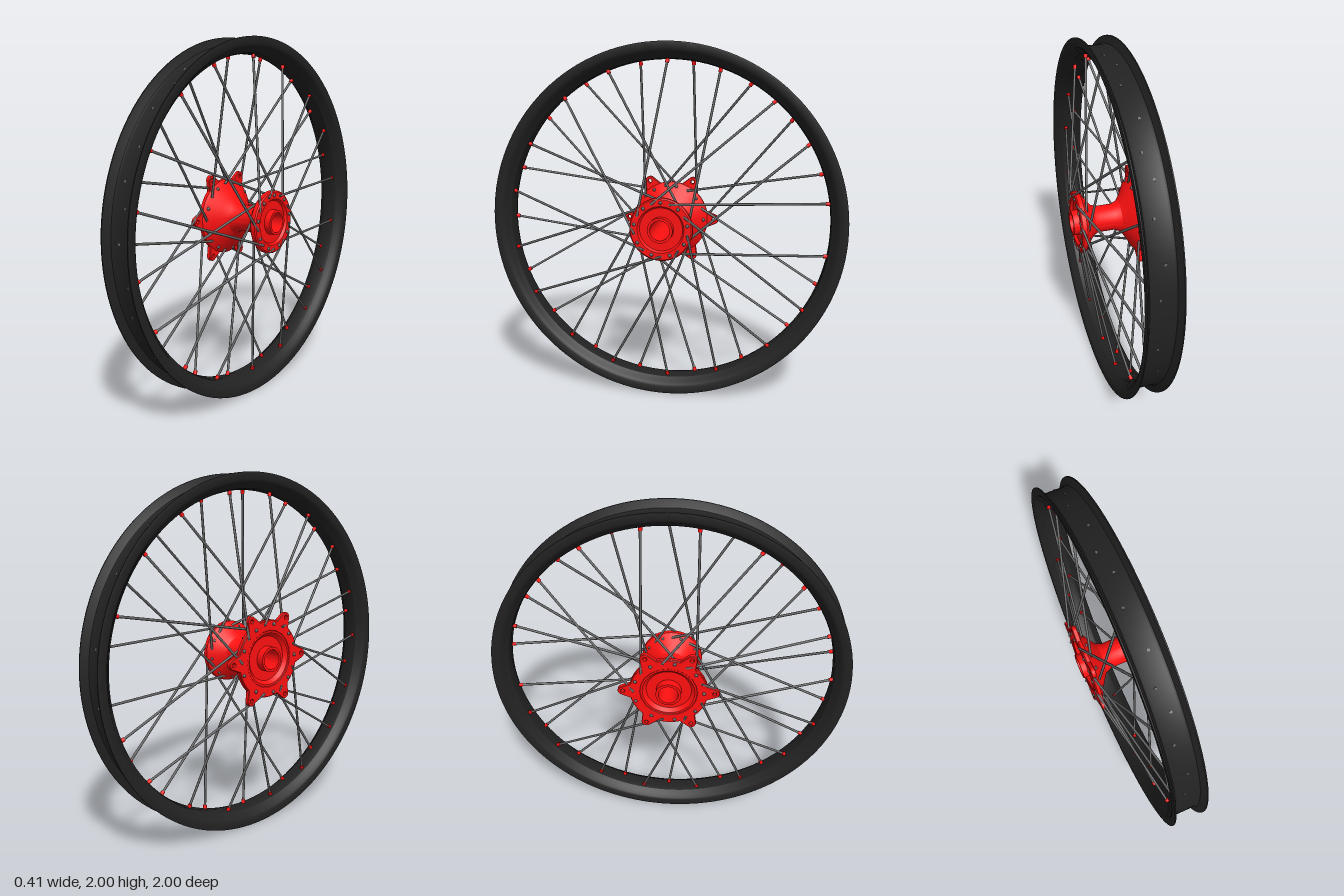
import * as THREE from 'three';
import { toCreasedNormals } from 'three/addons/utils/BufferGeometryUtils.js';

const RAD = Math.PI / 180;
const material = (color) => new THREE.MeshStandardMaterial({ color });
const black = material(0x222222);
const red = material(0xff1010);
const steel = material(0x666666);

function add(parent, name, geometry, mat) {
  const mesh = new THREE.Mesh(geometry, mat);
  mesh.name = name;
  parent.add(mesh);
  return mesh;
}

// Closed [radius, x] profile turned around the x axis; outer side runs towards +x
function turned(profile, segments) {
  const points = [...profile, profile[0]].map(([r, x]) => new THREE.Vector2(r, x));
  const geometry = new THREE.LatheGeometry(points, segments);
  return toCreasedNormals(geometry.rotateZ(-Math.PI / 2), 0.5);
}

// Point on a circle of the wheel: angle in degrees, radius, position along the axle
function polar(angle, r, x) {
  return new THREE.Vector3(x, r * Math.sin(angle * RAD), -r * Math.cos(angle * RAD));
}

function rod(parent, name, a, b, radius, sides, mat) {
  const dir = b.clone().sub(a);
  const mesh = add(parent, name, new THREE.CylinderGeometry(radius, radius, dir.length(), sides), mat);
  mesh.position.copy(a).add(b).multiplyScalar(0.5);
  mesh.quaternion.setFromUnitVectors(new THREE.Vector3(0, 1, 0), dir.normalize());
}

// Six-lobed disc mount with a bolt hole in each lobe
function discMountGeometry() {
  const shape = new THREE.Shape();
  const ring = 0.212, root = 0.22, tip = 0.253, round = 0.025;
  for (let k = 0; k < 6; k++) {
    const a = k * 60 * RAD;
    const next = a + 60 * RAD;
    if (k === 0) shape.moveTo(ring * Math.cos(a - root), ring * Math.sin(a - root));
    shape.absarc(tip * Math.cos(a), tip * Math.sin(a), round, a - 1.3, a + 1.3, false);
    shape.absarc(0, 0, ring, a + root, next - root, false);
    const bolt = new THREE.Path();
    bolt.absarc(tip * Math.cos(a), tip * Math.sin(a), 0.013, 0, Math.PI * 2, true);
    shape.holes.push(bolt);
  }
  const centre = new THREE.Path();
  centre.absarc(0, 0, 0.16, 0, Math.PI * 2, true);
  shape.holes.push(centre);
  const geometry = new THREE.ExtrudeGeometry(shape, {
    depth: 0.02, bevelEnabled: true, bevelSize: 0.003, bevelThickness: 0.003, bevelSegments: 1, curveSegments: 10,
  });
  return geometry.rotateY(-Math.PI / 2).translate(-0.16, 0, 0);
}

export function createModel() {
  const model = new THREE.Group();
  model.name = 'spokedWheel';
  const wheel = new THREE.Group();
  wheel.name = 'wheel';
  wheel.position.y = 1;
  model.add(wheel);

  // Rim: half section from the outer well over the lip to the inner crown, then mirrored
  const half = [
    [0.955, 0.055], [0.96, 0.066], [0.985, 0.078], [1, 0.084], [1, 0.09], [0.992, 0.092],
    [0.96, 0.09], [0.948, 0.084], [0.935, 0.066], [0.915, 0.045], [0.91, 0.025],
  ];
  const mirrored = half.map(([r, x]) => [r, -x]).reverse();
  add(wheel, 'rim', turned([...half, ...mirrored], 128), black);

  // Hub: end tubes, dished flanges, waisted barrel and open bore in one turning
  add(wheel, 'hub', turned([
    [0.055, -0.205], [0.07, -0.205], [0.07, -0.16], [0.125, -0.16], [0.145, -0.18],
    [0.212, -0.18], [0.217, -0.175], [0.217, -0.158], [0.205, -0.147], [0.13, -0.105],
    [0.09, -0.075], [0.075, -0.04], [0.075, 0.05], [0.085, 0.08], [0.11, 0.103],
    [0.165, 0.138], [0.175, 0.148], [0.175, 0.172], [0.168, 0.178], [0.13, 0.178],
    [0.12, 0.163], [0.07, 0.163], [0.07, 0.2], [0.055, 0.2],
  ], 64), red);
  add(wheel, 'discMount', discMountGeometry(), red);

  // Four spoke sets of nine: rim angle, angle to the flange hole, hole radius,
  // spoke side and head side of the flange, nipple position across the rim
  const sets = [
    { start: 8.8, turn: 61.2, hole: 0.15, from: 0.179, head: 0.135, seat: 0.015 },
    { start: 31.2, turn: -61.2, hole: 0.15, from: 0.135, head: 0.178, seat: 0.015 },
    { start: 1.2, turn: -41.2, hole: 0.195, from: -0.184, head: -0.142, seat: -0.015 },
    { start: 18.8, turn: 41.2, hole: 0.195, from: -0.142, head: -0.183, seat: -0.015 },
  ];
  const spokes = new THREE.Group();
  spokes.name = 'spokes';
  wheel.add(spokes);
  for (const s of sets) {
    for (let k = 0; k < 9; k++) {
      const angle = s.start + 40 * k;
      if (angle === 1.2) continue; // empty spoke seat
      const elbow = polar(angle + s.turn, s.hole, s.from);
      const head = polar(angle + s.turn, s.hole, s.head);
      const end = polar(angle, 0.957, s.seat);
      const along = elbow.clone().sub(end).normalize();
      rod(spokes, 'spoke', elbow, end, 0.007, 8, steel);
      rod(spokes, 'spokeElbow', elbow, head, 0.007, 8, steel);
      add(spokes, 'spokeHead', new THREE.SphereGeometry(0.01, 8, 6), steel).position.copy(head);
      rod(spokes, 'nipple', end.clone().addScaledVector(along, 0.025),
        end.clone().addScaledVector(along, 0.068), 0.011, 8, red);
    }
  }
  return model;
}
